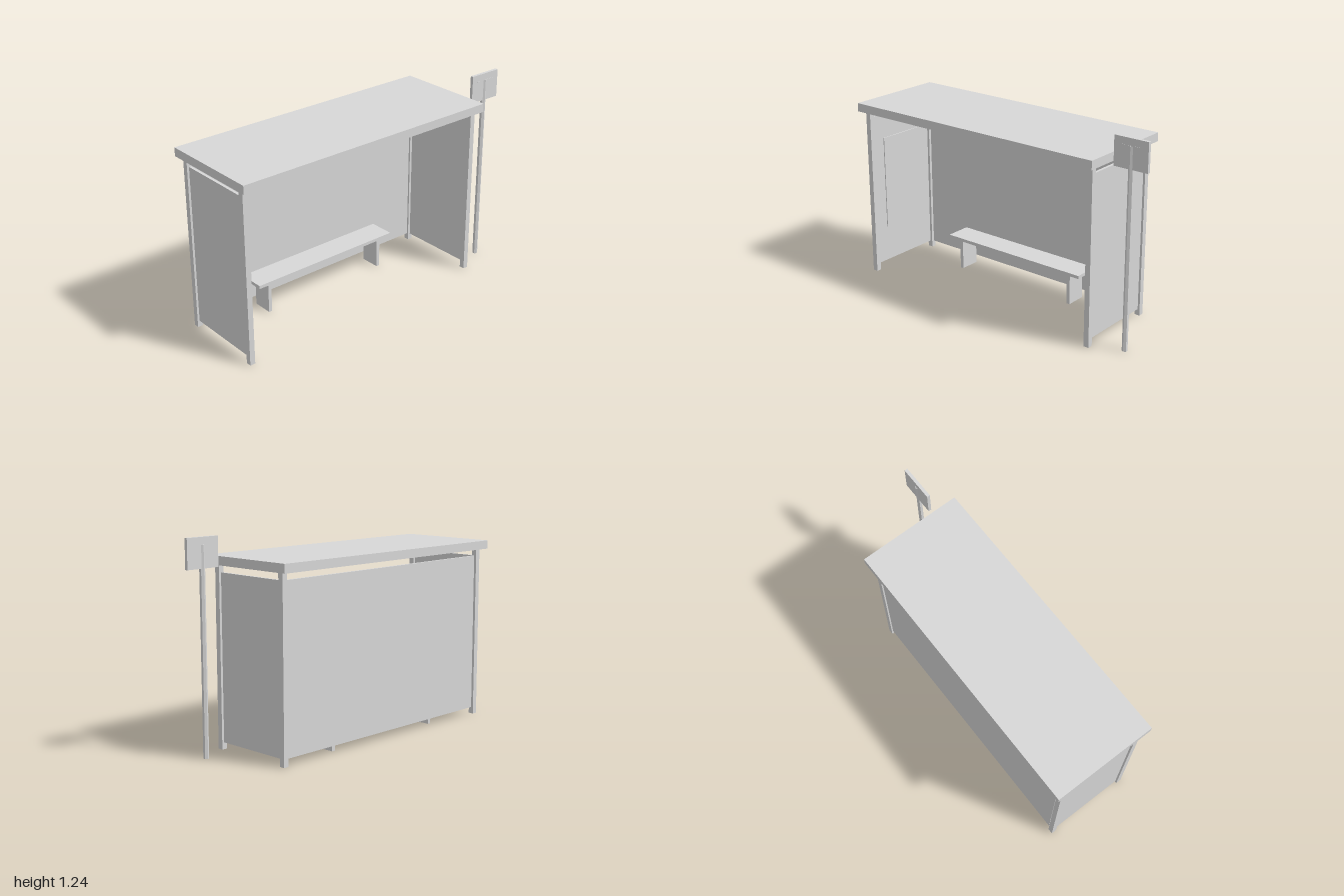
import * as THREE from 'three';

export function createModel() {
  const group = new THREE.Group();
  const grey = new THREE.MeshStandardMaterial({ color: 0xd8d8d8 });
  grey.name = 'light grey';

  // Box given by its lower and upper bounds on each axis
  function box(name, [x0, x1], [y0, y1], [z0, z1]) {
    const mesh = new THREE.Mesh(new THREE.BoxGeometry(x1 - x0, y1 - y0, z1 - z0), grey);
    mesh.position.set((x0 + x1) / 2, (y0 + y1) / 2, (z0 + z1) / 2);
    mesh.name = name;
    group.add(mesh);
  }

  // Roof slab
  box('roof', [-1, 0.743], [1.064, 1.116], [-0.319, 0.319]);

  // Four corner posts
  for (const x of [-0.961, 0.701])
    for (const z of [-0.258, 0.258])
      box('post', [x - 0.0165, x + 0.0165], [0, 1.064], [z - 0.0165, z + 0.0165]);

  // Wall panels standing in line with the posts
  const wallY = [0.043, 1.02];
  box('backPanel', [-0.936, 0.682], wallY, [-0.266, -0.25]);
  box('leftPanel', [0.693, 0.709], wallY, [-0.234, 0.235]);
  box('rightPanel', [-0.969, -0.953], wallY, [-0.234, 0.235]);

  // Notice board on the inner face of the end wall
  box('noticeBoard', [-0.953, -0.947], [0.27, 0.865], [-0.2, 0.162]);

  // Bench
  box('benchSeat', [-0.641, 0.381], [0.194, 0.214], [-0.25, -0.087]);
  for (const x of [-0.555, 0.295])
    box('benchLeg', [x - 0.011, x + 0.011], [0, 0.194], [-0.233, -0.105]);

  // Roadside sign on a six-sided pole
  const poleGeometry = new THREE.CylinderGeometry(0.0163, 0.0163, 1.192, 6).toNonIndexed();
  poleGeometry.computeVertexNormals();
  const pole = new THREE.Mesh(poleGeometry, grey);
  pole.position.set(0.892, 0.596, 0.173);
  pole.name = 'signPole';
  group.add(pole);
  box('signBoard', [0.786, 1], [1.063, 1.235], [0.1635, 0.1825]);
  box('signStrip', [0.828, 0.955], [1.19, 1.194], [0.1825, 0.184]);

  return group;
}
